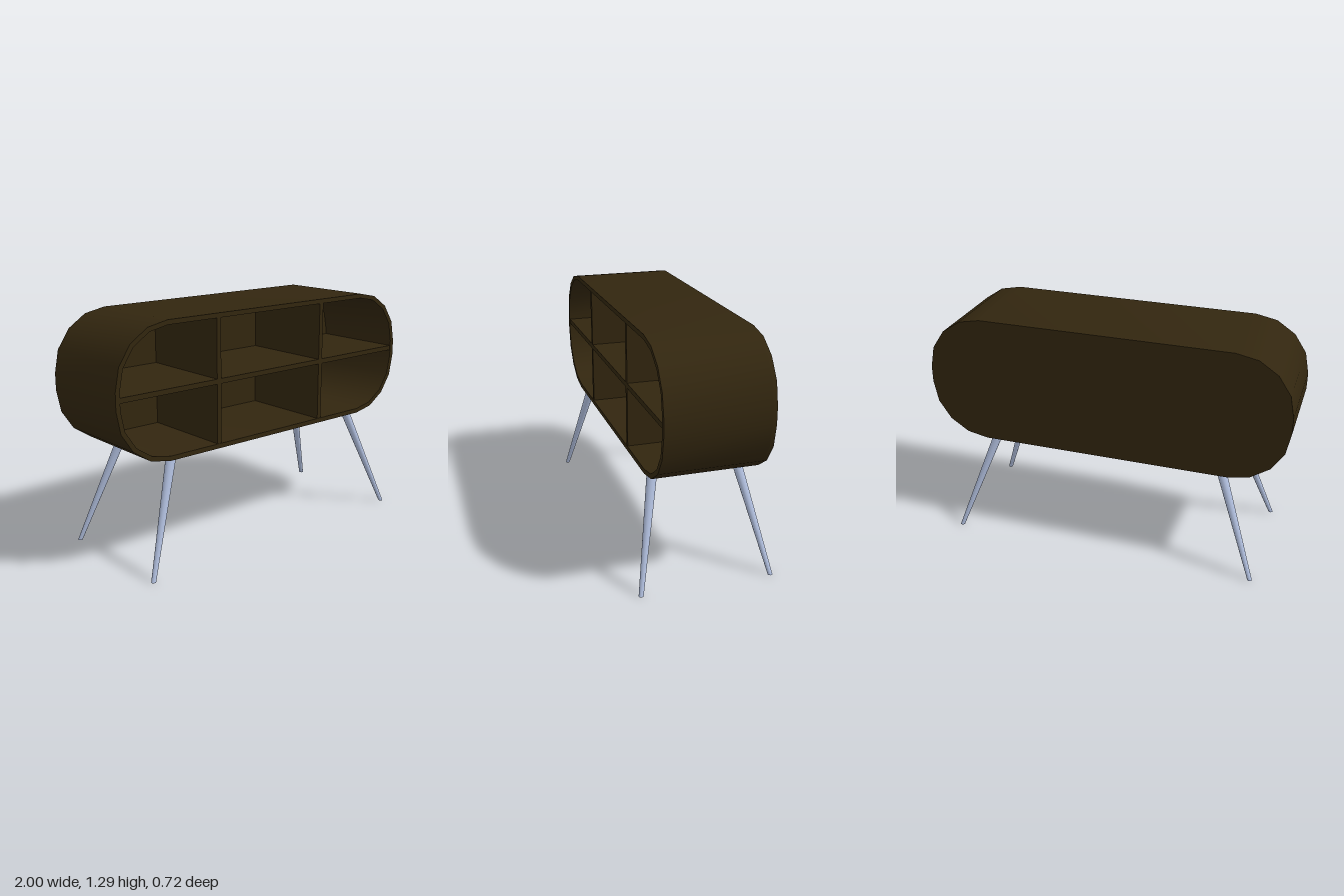
import * as THREE from 'three';
import { toCreasedNormals } from 'three/addons/utils/BufferGeometryUtils.js';

const BOTTOM = 0.58, TOP = 1.29, DEPTH = 0.555, WALL = 0.025, BACK = 0.02;
const MID = (BOTTOM + TOP) / 2;

// Rounded rectangle with four facets per corner, shrunk by inset
function outline(inset) {
  const r = 0.31 - inset, cx = 0.69, cy = 0.045, points = [];
  [[1, 1], [-1, 1], [-1, -1], [1, -1]].forEach(([sx, sy], corner) => {
    for (let i = 0; i <= 4; i++) {
      const a = (corner + i / 4) * Math.PI / 2;
      points.push(new THREE.Vector2(sx * cx + r * Math.cos(a), MID + sy * cy + r * Math.sin(a)));
    }
  });
  return points;
}

function extrude(shape, depth, z) {
  const geometry = new THREE.ExtrudeGeometry(shape, { depth, bevelEnabled: false });
  geometry.translate(0, 0, z);
  return toCreasedNormals(geometry, Math.PI / 6);
}

export function createModel() {
  const model = new THREE.Group();
  model.name = 'sideboard';
  const wood = new THREE.MeshStandardMaterial({ color: 0x32260f });
  wood.name = 'dark wood';
  const metal = new THREE.MeshStandardMaterial({ color: 0xb0bedd });
  metal.name = 'pale blue metal';

  const add = (name, geometry, material, parent = model) => {
    const mesh = new THREE.Mesh(geometry, material);
    mesh.name = name;
    parent.add(mesh);
    return mesh;
  };

  // Open-fronted shell and its back panel
  const ring = new THREE.Shape(outline(0));
  ring.holes.push(new THREE.Path(outline(WALL).reverse()));
  add('shell', extrude(ring, DEPTH - BACK, -DEPTH / 2 + BACK), wood);
  add('backPanel', extrude(new THREE.Shape(outline(0)), BACK, -DEPTH / 2), wood);

  // Shelf and two dividers, set just behind the front edge
  const innerDepth = DEPTH - BACK - 0.003;
  const innerZ = -DEPTH / 2 + BACK + innerDepth / 2;
  add('shelf', new THREE.BoxGeometry(1.95, 0.027, innerDepth), wood).position.set(0, 0.937, innerZ);
  for (const x of [-0.37, 0.37]) {
    for (const [name, low, high] of [['lowerDivider', BOTTOM + WALL, 0.9235], ['upperDivider', 0.9505, TOP - WALL]]) {
      add(name, new THREE.BoxGeometry(0.027, high - low, innerDepth), wood)
        .position.set(x, (low + high) / 2, innerZ);
    }
  }

  // Tapered legs, sheared outward so both ends stay level
  const legs = new THREE.Group();
  legs.name = 'legs';
  model.add(legs);
  for (const sx of [-1, 1]) {
    for (const sz of [-1, 1]) {
      const geometry = new THREE.CylinderGeometry(0.027, 0.0125, BOTTOM, 16);
      geometry.translate(0, BOTTOM / 2, 0);
      geometry.applyMatrix4(new THREE.Matrix4().set(
        1, -sx * 0.215 / BOTTOM, 0, sx * 0.863,
        0, 1, 0, 0,
        0, -sz * 0.125 / BOTTOM, 1, sz * 0.348,
        0, 0, 0, 1));
      add((sz > 0 ? 'front' : 'back') + (sx > 0 ? 'Left' : 'Right') + 'Leg', geometry, metal, legs);
    }
  }
  return model;
}
